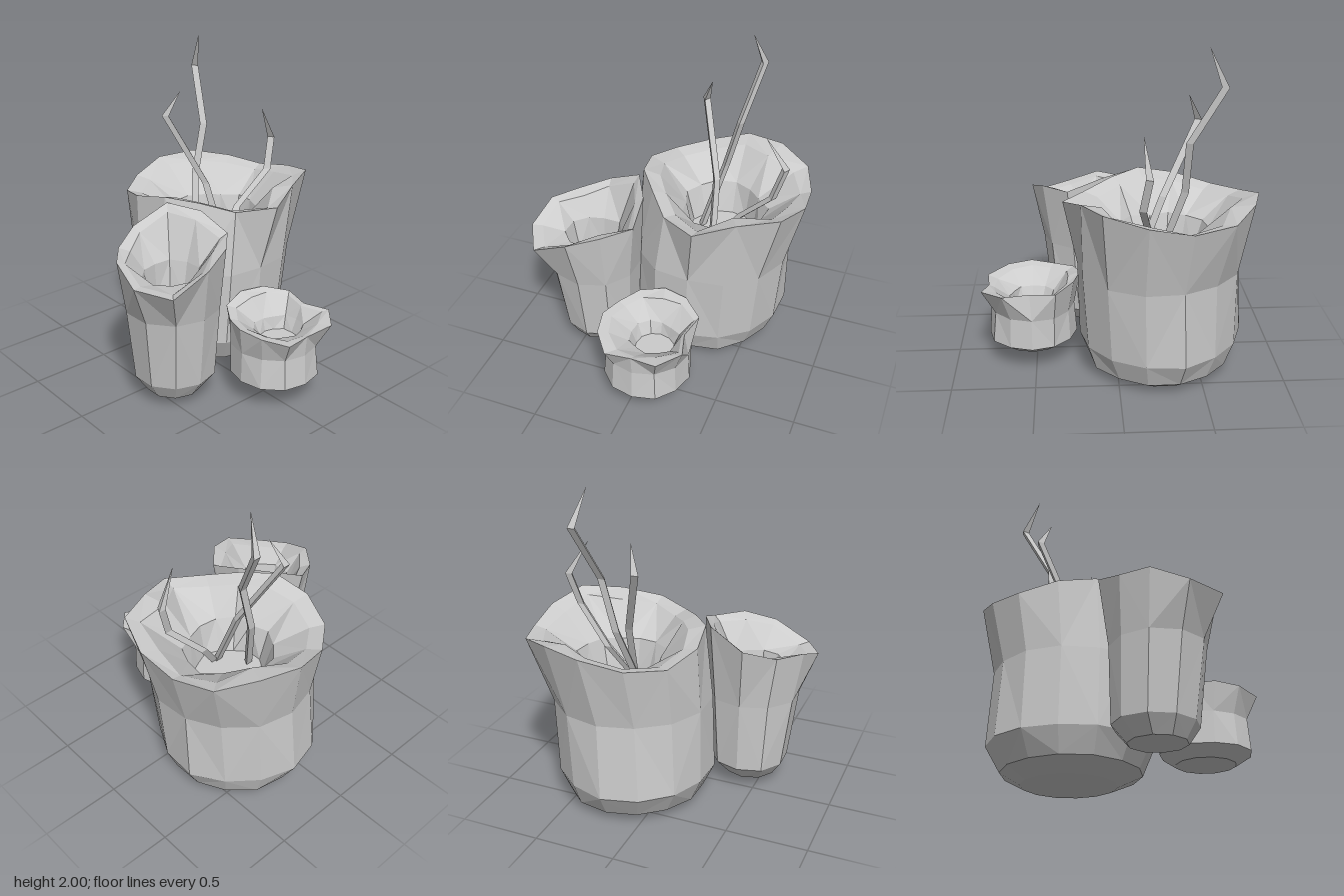
import * as THREE from 'three';

const material = new THREE.MeshStandardMaterial({ color: 0xcccccc, flatShading: true, side: THREE.DoubleSide });
const rad = THREE.MathUtils.degToRad;

// Small repeatable wobble in -1..1
const wobble = (i, j) => {
  const s = Math.sin(i * 12.99 + j * 78.23 + 1.7) * 4375.85;
  return (s - Math.floor(s)) * 2 - 1;
};

// Skin a stack of equal-length point loops and close both ends
function loft(rings) {
  const pos = [];
  const tri = (...pts) => pts.forEach(p => pos.push(...p));
  const n = rings[0].length;
  const middle = ring => [0, 1, 2].map(k => ring.reduce((s, p) => s + p[k], 0) / n);
  const first = rings[0], last = rings[rings.length - 1];
  const c0 = middle(first), c1 = middle(last);
  for (let i = 0; i < n; i++) {
    const k = (i + 1) % n;
    tri(c0, first[k], first[i]);
    for (let r = 0; r + 1 < rings.length; r++) {
      const a = rings[r], b = rings[r + 1];
      if ((i + r) % 2) {
        tri(a[i], a[k], b[k]);
        tri(a[i], b[k], b[i]);
      } else {
        tri(a[i], a[k], b[i]);
        tri(a[k], b[k], b[i]);
      }
    }
    tri(c1, last[i], last[k]);
  }
  const geo = new THREE.BufferGeometry();
  geo.setAttribute('position', new THREE.Float32BufferAttribute(pos, 3));
  geo.computeVertexNormals();
  return geo;
}

function makeMesh(name, rings) {
  const mesh = new THREE.Mesh(loft(rings), material);
  mesh.name = name;
  return mesh;
}

// Loop of n points around (cx, cz); radius and height are functions of index and angle
function loop(n, cx, cz, radius, height) {
  return Array.from({ length: n }, (_, i) => {
    const a = i / n * Math.PI * 2, r = radius(i);
    return [cx + Math.sin(a) * r, height(a), cz + Math.cos(a) * r];
  });
}

// Hollow sponge: round body loops, a ragged wavy rim, then a funnel down to the floor
function sponge(name, { body, centre, radii, edge, hole }) {
  const n = radii.length;
  const rough = (y, x, z, r, j, amount) =>
    loop(n, x, z, i => r * (1 + amount * wobble(i, j)), () => y);
  const walls = body.map(([y, x, z, r], j) => rough(y, x, z, r, j, j ? 0.03 : 0));
  const rim = loop(n, ...centre, i => radii[i], a =>
    edge.y + edge.tilt * Math.cos(a - rad(edge.high)) + edge.wave * Math.cos(3 * (a - rad(edge.crest))));
  const throat = rough(hole.y, hole.x, hole.z, hole.r, 9, 0.1);
  const lip = rim.map((p, i) => p.map((v, k) =>
    v + (throat[i][k] - v) * (k === 1 ? 0.15 : 0.35 + 0.12 * wobble(i, 5))));
  const floor = rough(hole.floor, hole.x, hole.z, hole.r * 0.8, 7, 0.08);
  return makeMesh(name, [...walls, rim, lip, throat, floor]);
}

// Thin three-sided tendril tapering to a point
function tendril(name, ...path) {
  return makeMesh(name, path.map(([x, y, z], j) => {
    const r = j === path.length - 1 ? 0.001 : 0.027;
    return loop(3, x, z, () => r, () => y);
  }));
}

export function createModel() {
  const model = new THREE.Group();
  model.name = 'spongeCluster';
  model.add(
    sponge('largeSponge', {
      body: [[0, 0.24, -0.27, 0.29], [0.06, 0.2, -0.26, 0.43], [0.21, 0.19, -0.26, 0.5], [0.68, 0.21, -0.25, 0.5]],
      centre: [0.26, -0.27],
      radii: [0.59, 0.54, 0.6, 0.57, 0.55, 0.58, 0.56, 0.57, 0.56, 0.56, 0.54, 0.5, 0.46, 0.51],
      edge: { y: 1.11, tilt: 0.02, high: 40, wave: 0.045, crest: 45 },
      hole: { x: 0.27, z: -0.27, r: 0.26, y: 0.92, floor: 0.72 }
    }),
    sponge('tallSponge', {
      body: [[0.07, -0.43, 0.16, 0.17], [0.17, -0.42, 0.15, 0.25], [0.62, -0.43, 0.17, 0.285]],
      centre: [-0.46, 0.18],
      radii: [0.34, 0.33, 0.36, 0.34, 0.37, 0.35, 0.31, 0.32, 0.36, 0.39],
      edge: { y: 0.99, tilt: 0.11, high: 120, wave: 0.04, crest: 135 },
      hole: { x: -0.44, z: 0.16, r: 0.17, y: 0.82, floor: 0.62 }
    }),
    sponge('smallSponge', {
      body: [[0.1, 0.06, 0.52, 0.18], [0.16, 0.06, 0.52, 0.275], [0.35, 0.06, 0.52, 0.265]],
      centre: [0.06, 0.53],
      radii: [0.26, 0.34, 0.33, 0.24, 0.32, 0.31, 0.31, 0.31, 0.28, 0.29, 0.3, 0.32],
      edge: { y: 0.52, tilt: 0.03, high: 165, wave: 0.015, crest: 45 },
      hole: { x: 0.1, z: 0.52, r: 0.145, y: 0.42, floor: 0.34 }
    }),
    tendril('leftTendril', [0.25, 0.7, -0.12], [0.4, 0.92, -0.19], [0.61, 1.15, -0.13], [0.67, 1.35, -0.16], [0.55, 1.56, -0.13]),
    tendril('rightTendril', [0.24, 0.7, -0.13], [0.21, 1.1, -0.28], [0.06, 1.53, -0.5], [0.12, 1.69, -0.43]),
    tendril('tallTendril', [0.12, 0.7, -0.28], [0.23, 1.13, -0.41], [0.31, 1.45, -0.42], [0.39, 1.79, -0.6], [0.34, 2, -0.51])
  );
  return model;
}
